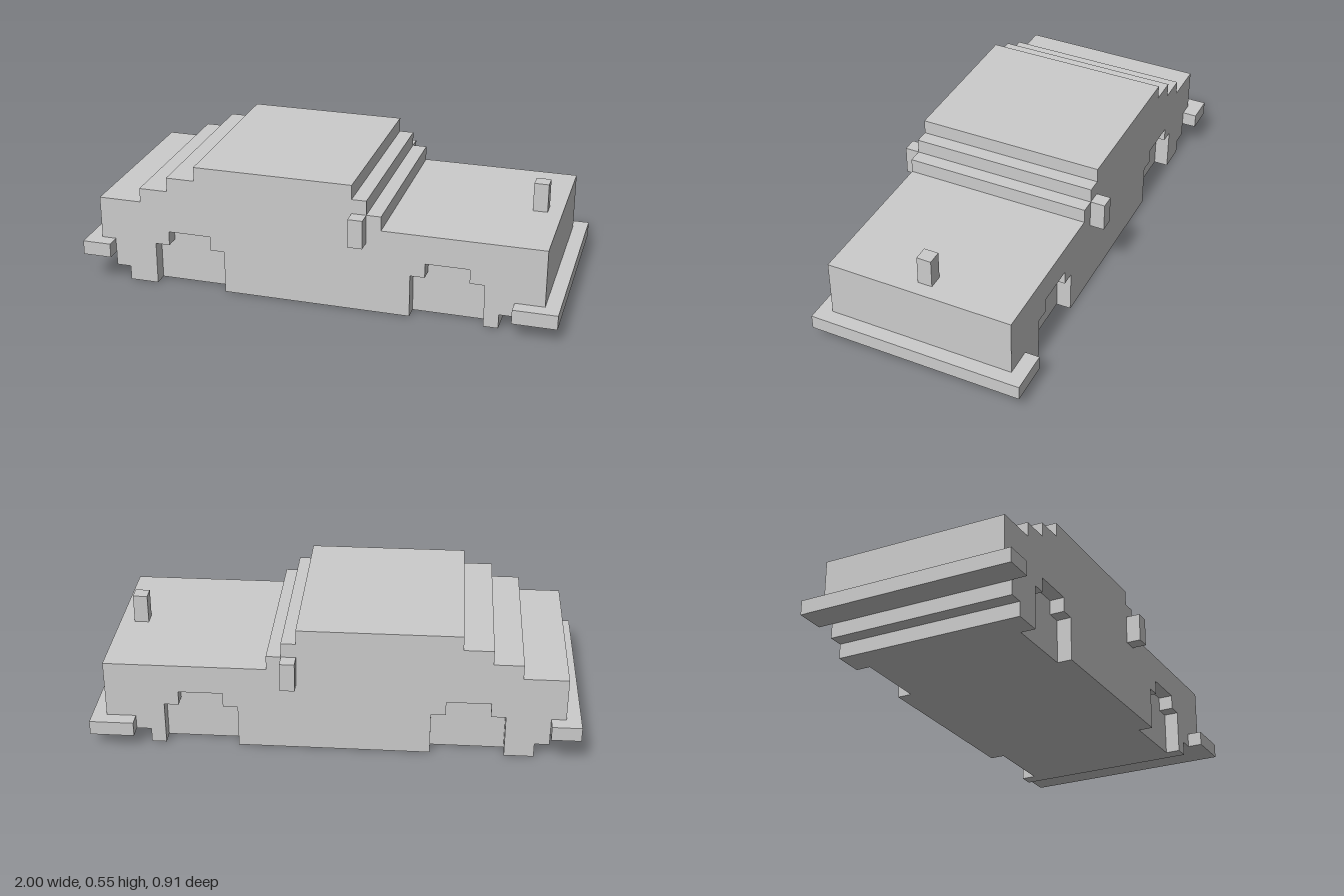
import * as THREE from 'three';

// One block; the car is 33 blocks long and 15 wide
const U = 2 / 33;
const material = new THREE.MeshStandardMaterial({ color: 0xcccccc, flatShading: true });

// Side outline in blocks, x counted from the rear end
const rearAndRoof = [
  [2, 1], [2, 2], [1, 2], [1, 6], [4, 6], [4, 7], [6, 7], [6, 8], [8, 8], [8, 9],
];
const windscreenAndNose = [
  [19, 9], [19, 8], [20, 8], [20, 7], [21, 7], [21, 6], [32, 6], [32, 2], [30, 2], [30, 1], [29, 1], [29, 0],
];

// Stepped wheel arch cut into the lower edge, drawn front to rear
const arch = (x) => [
  [x + 5, 0], [x + 5, 3], [x + 4, 3], [x + 4, 4], [x + 1, 4], [x + 1, 3], [x, 3], [x, 0],
];

export function createModel() {
  const car = new THREE.Group();
  car.name = 'blockCar';

  function add(name, geometry) {
    const mesh = new THREE.Mesh(geometry, material);
    mesh.name = name;
    car.add(mesh);
  }

  // Stepped outline extruded between two z positions
  function slab(name, arches, z0, z1) {
    const outline = [[3, 0], [3, 1], ...rearAndRoof, ...windscreenAndNose, ...arches];
    const shape = new THREE.Shape(outline.map(([x, y]) => new THREE.Vector2((x - 16.5) * U, y * U)));
    const geometry = new THREE.ExtrudeGeometry(shape, { depth: (z1 - z0) * U, bevelEnabled: false });
    add(name, geometry.translate(0, 0, z0 * U));
  }

  // Box given by its ranges in blocks
  function block(name, [x0, x1], [y0, y1], [z0, z1]) {
    const geometry = new THREE.BoxGeometry((x1 - x0) * U, (y1 - y0) * U, (z1 - z0) * U);
    geometry.translate(((x0 + x1) / 2 - 16.5) * U, ((y0 + y1) / 2) * U, ((z0 + z1) / 2) * U);
    add(name, geometry);
  }

  // Body: solid core with a one-block side panel holding the wheel arches
  const arches = [...arch(23), ...arch(5)];
  slab('bodyCore', [], -5.5, 5.5);
  slab('leftSidePanel', arches, 5.5, 6.5);
  slab('rightSidePanel', arches, -6.5, -5.5);

  // Bumpers
  block('frontBumper', [30, 33], [1, 2], [-7.5, 7.5]);
  block('rearBumper', [0, 1], [2, 3], [-7.5, 7.5]);

  // Rear bumper ends and door mirrors on both sides
  for (const [side, z] of [['left', [6.5, 7.5]], ['right', [-7.5, -6.5]]]) {
    block(side + 'RearBumperEnd', [1, 2], [2, 3], z);
    block(side + 'DoorMirror', [19, 20], [5, 7], z);
  }

  // Bonnet ornament
  block('bonnetOrnament', [30, 31], [6, 8], [-0.5, 0.5]);

  return car;
}
